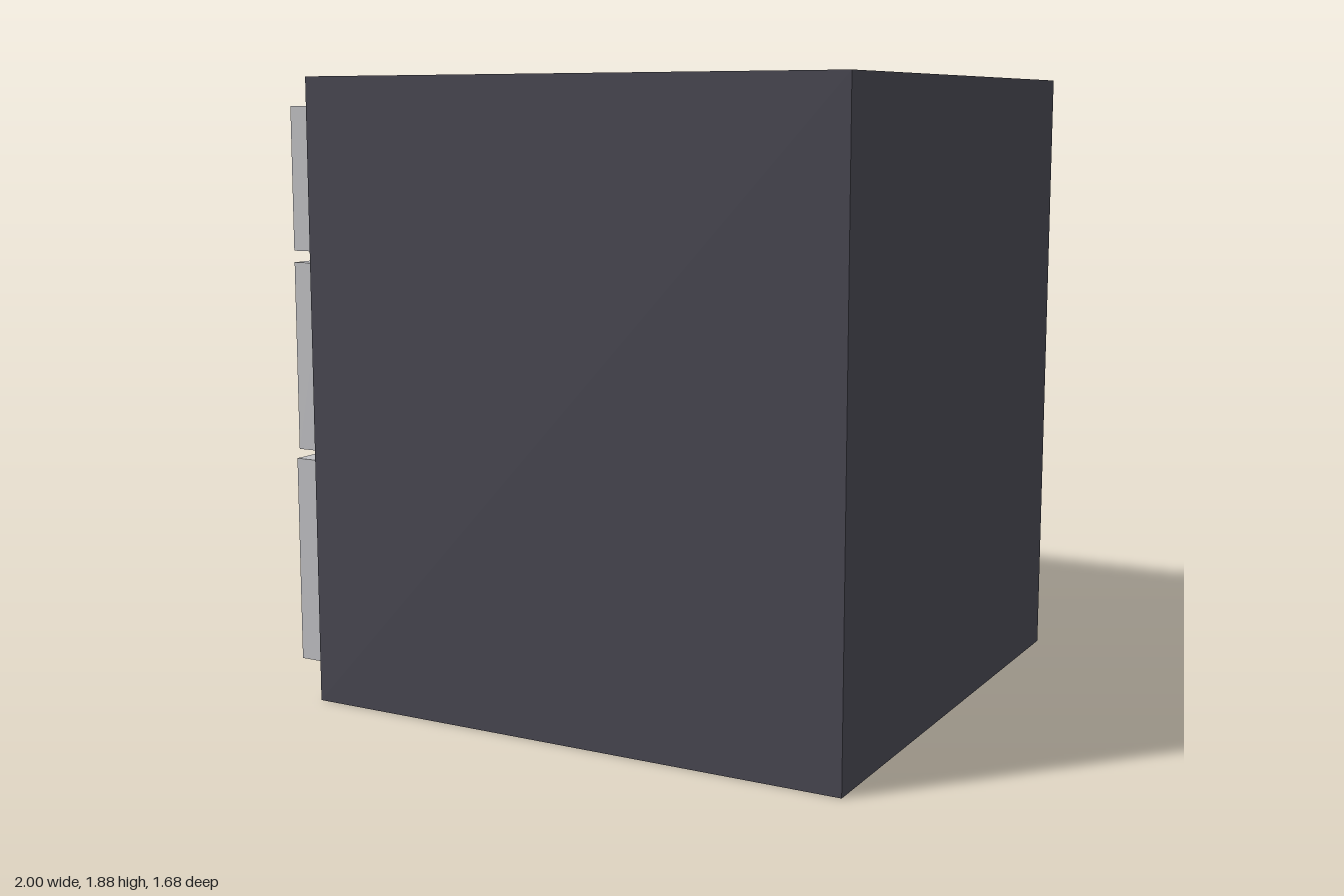
import * as THREE from 'three';
import { toCreasedNormals } from 'three/addons/utils/BufferGeometryUtils.js';

const bodyMat = new THREE.MeshStandardMaterial({ name: 'charcoal cabinet', color: 0x474650 });
const drawerMat = new THREE.MeshStandardMaterial({ name: 'light grey drawer', color: 0xbfbfc2 });
const knobMat = new THREE.MeshStandardMaterial({ name: 'grey knob', color: 0x9797a3 });

// Box given by its limits on each axis
function block(name, [x0, x1], [y0, y1], [z0, z1], material) {
  const mesh = new THREE.Mesh(new THREE.BoxGeometry(x1 - x0, y1 - y0, z1 - z0), material);
  mesh.position.set((x0 + x1) / 2, (y0 + y1) / 2, (z0 + z1) / 2);
  mesh.name = name;
  return mesh;
}

// Knob sections: x, half height, half width, corner radius
const knobSections = [
  [-0.825, 0.063, 0.12, 0.022],
  [-0.866, 0.063, 0.12, 0.022],
  [-0.873, 0.057, 0.11, 0.022],
  [-0.885, 0.042, 0.08, 0.02],
  [-0.897, 0.036, 0.068, 0.02],
  [-0.915, 0.036, 0.066, 0.02],
  [-0.927, 0.042, 0.074, 0.022],
  [-0.934, 0.052, 0.09, 0.028],
  [-0.940, 0.063, 0.102, 0.036],
  [-0.986, 0.063, 0.102, 0.036],
  [-0.996, 0.058, 0.097, 0.032],
  [-1.0, 0.048, 0.087, 0.024],
];

// Loft rounded rectangles along x and cap both ends
function knobGeometry() {
  const steps = 6, ring = 4 * (steps + 1);
  const positions = [], index = [];
  for (const [x, h, w, r] of knobSections) {
    for (let c = 0; c < 4; c++) {
      const cz = (c === 0 || c === 3 ? 1 : -1) * (w - r);
      const cy = (c < 2 ? 1 : -1) * (h - r);
      for (let s = 0; s <= steps; s++) {
        const a = (c + s / steps) * Math.PI / 2;
        positions.push(x, cy + r * Math.sin(a), cz + r * Math.cos(a));
      }
    }
  }
  const last = (knobSections.length - 1) * ring;
  for (let k = 0; k < last; k += ring) {
    for (let i = 0; i < ring; i++) {
      const j = (i + 1) % ring;
      index.push(k + i, k + ring + i, k + j, k + j, k + ring + i, k + ring + j);
    }
  }
  for (let i = 1; i < ring - 1; i++) {
    index.push(0, i, i + 1);
    index.push(last, last + i + 1, last + i);
  }
  // Make the winding face outward whichever way the rings run
  const [a, b, c] = index.slice(-3).map((n) => new THREE.Vector3().fromArray(positions, n * 3));
  if (b.sub(a).cross(c.sub(a)).x > 0) index.reverse();
  const geometry = new THREE.BufferGeometry();
  geometry.setAttribute('position', new THREE.Float32BufferAttribute(positions, 3));
  geometry.setIndex(index);
  return toCreasedNormals(geometry, 0.6);
}

export function createModel() {
  const model = new THREE.Group();
  model.name = 'drawerCabinet';
  model.add(block('cabinetBody', [-0.72, 1], [0, 1.88], [-0.84, 0.84], bodyMat));

  // Drawers on the -x side, bottom one deepest and tallest
  const drawers = [
    { name: 'bottom', y: [0.1, 0.73], front: -0.838, knobY: 0.592 },
    { name: 'middle', y: [0.76, 1.33], front: -0.828, knobY: 1.2 },
    { name: 'top', y: [1.365, 1.795], front: -0.828, knobY: 1.682 },
  ];
  const geometry = knobGeometry();
  for (const d of drawers) {
    model.add(block(d.name + 'Drawer', [d.front, -0.72], d.y, [-0.785, 0.78], drawerMat));
    const knob = new THREE.Mesh(geometry, knobMat);
    knob.name = d.name + 'Knob';
    knob.position.set(0, d.knobY, -0.003);
    model.add(knob);
  }
  return model;
}
